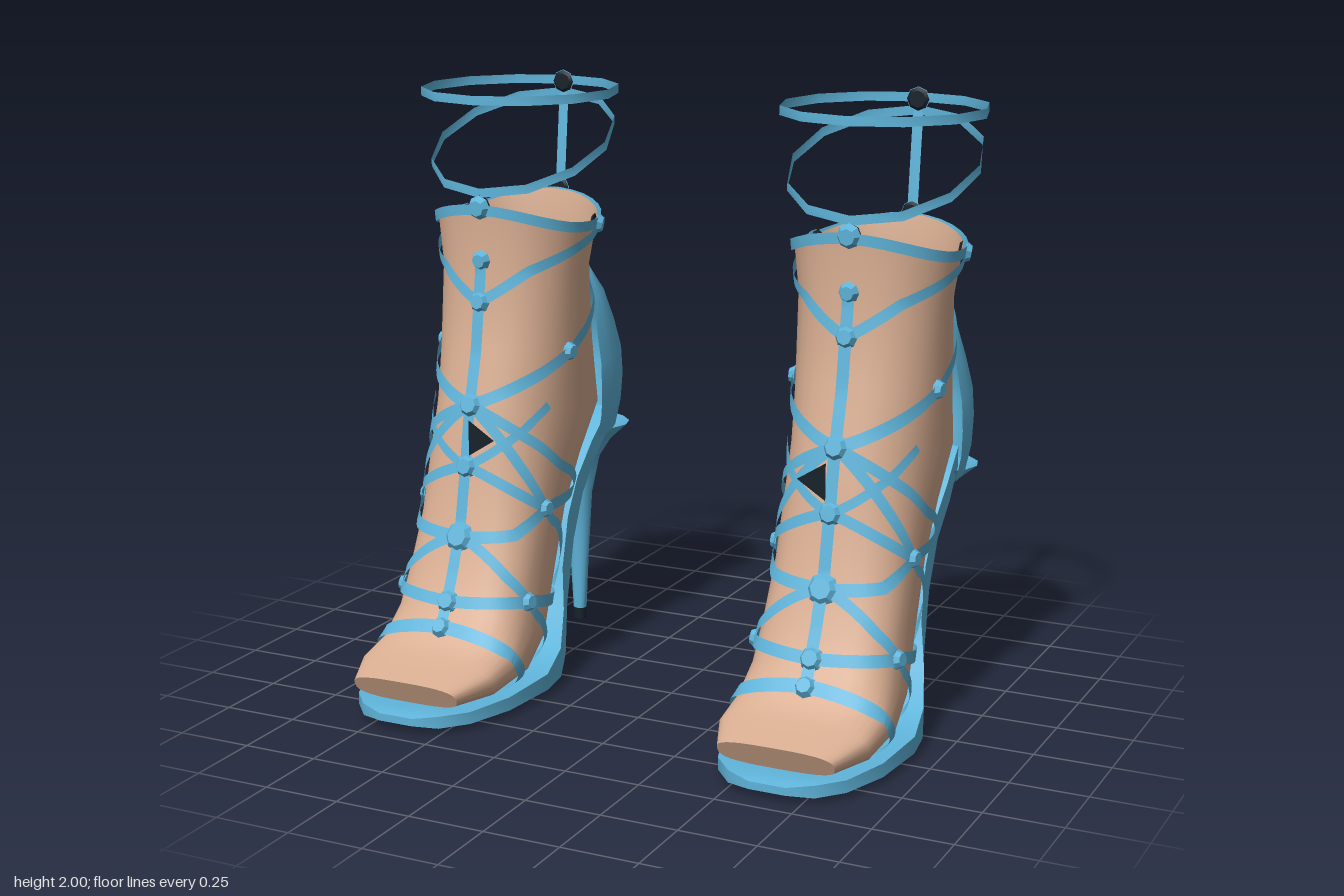
import * as THREE from 'three';
import { toCreasedNormals } from 'three/addons/utils/BufferGeometryUtils.js';

const V = (x, y, z) => new THREE.Vector3(x, y, z);
const sgnPow = (c, p) => Math.sign(c) * Math.pow(Math.abs(c), p);
const RAD = Math.PI / 180;

function material(name, color) {
  const m = new THREE.MeshStandardMaterial({ color, side: THREE.DoubleSide });
  m.name = name;
  return m;
}

// Joins rings of points into a skin; caps fill the first and last ring.
function loft(rings, { closed = true, capStart = false, capEnd = false, crease = 0.7 } = {}) {
  const n = rings[0].length, pos = [], idx = [];
  rings.forEach(r => r.forEach(p => pos.push(p.x, p.y, p.z)));
  const last = closed ? n : n - 1;
  for (let i = 0; i < rings.length - 1; i++)
    for (let j = 0; j < last; j++) {
      const a = i * n + j, b = i * n + (j + 1) % n, c = a + n, d = b + n;
      idx.push(a, c, b, b, c, d);
    }
  const e = (rings.length - 1) * n;
  for (let j = 1; j < n - 1; j++) {
    if (capStart) idx.push(0, j, j + 1);
    if (capEnd) idx.push(e, e + j + 1, e + j);
  }
  const g = new THREE.BufferGeometry();
  g.setAttribute('position', new THREE.Float32BufferAttribute(pos, 3));
  g.setIndex(idx);
  return toCreasedNormals(g, crease);
}

// Leg and foot sections: front z, y, back z, y, half width, roundness
const SECTIONS = [
  [0.10, 1.61, -0.41, 1.60, 0.26, 0.9],
  [0.09, 1.40, -0.37, 1.38, 0.24, 0.9],
  [0.13, 1.13, -0.40, 1.12, 0.235, 0.85],
  [0.18, 0.95, -0.46, 0.87, 0.23, 0.8],
  [0.21, 0.78, -0.30, 0.72, 0.225, 0.75],
  [0.25, 0.58, -0.17, 0.57, 0.222, 0.7],
  [0.31, 0.42, -0.06, 0.35, 0.228, 0.65],
  [0.36, 0.31, 0.04, 0.14, 0.238, 0.65],
  [0.42, 0.22, 0.20, 0.07, 0.25, 0.62],
  [0.52, 0.185, 0.45, 0.06, 0.245, 0.6],
  [0.65, 0.15, 0.61, 0.07, 0.19, 0.65],
];

// Point on the leg: v runs from the top section to the toes, a goes round from the front.
function legPoint(v, a) {
  v = Math.min(Math.max(v, 0), SECTIONS.length - 1);
  const i = Math.min(Math.floor(v), SECTIONS.length - 2), t = v - i;
  const [fz, fy, bz, by, w, p] = SECTIONS[i].map((s, k) => s + (SECTIONS[i + 1][k] - s) * t);
  const c = sgnPow(Math.cos(a), p), s = sgnPow(Math.sin(a), p);
  const dip = 0.07 * Math.max(0, 1 - v) * s * s;
  return V(w * s, (fy + by) / 2 + (fy - by) / 2 * c - dip, (fz + bz) / 2 + (fz - bz) / 2 * c);
}

function legNormal(v, a) {
  const h = 0.06;
  const dv = legPoint(v + h, a).sub(legPoint(v - h, a));
  const da = legPoint(v, a + h).sub(legPoint(v, a - h));
  return dv.cross(da).normalize();
}

// Flat band along points, lying across the given normals
function ribbon(points, normals, width) {
  const sides = points.map((p, i) => {
    const t = points[Math.min(i + 1, points.length - 1)].clone().sub(points[Math.max(i - 1, 0)]);
    return normals[i].clone().cross(t).normalize().multiplyScalar(width / 2);
  });
  return loft(points.map((p, i) => [p.clone().sub(sides[i]), p.clone().add(sides[i])]), { closed: false });
}

function strapOnLeg(way, width, mirror) {
  const pts = [], nor = [];
  for (let i = 0; i < way.length - 1; i++)
    for (let k = i ? 1 : 0; k <= 16; k++) {
      const t = k / 16;
      const v = way[i][0] + (way[i + 1][0] - way[i][0]) * t;
      const a = (way[i][1] + (way[i + 1][1] - way[i][1]) * t) * RAD * mirror;
      const n = legNormal(v, a);
      nor.push(n);
      pts.push(legPoint(v, a).addScaledVector(n, 0.012));
    }
  return ribbon(pts, nor, width);
}

function hoop(rx, rz, cz, yFront, yBack, width) {
  const pts = [], nor = [];
  for (let i = 0; i <= 12; i++) {
    const a = i / 12 * Math.PI * 2, c = Math.cos(a);
    pts.push(V(rx * Math.sin(a), (yFront + yBack) / 2 + (yFront - yBack) / 2 * c, cz + rz * c));
    nor.push(V(Math.sin(a), 0, c));
  }
  return ribbon(pts, nor, width);
}

function createShoe(side, mats) {
  const shoe = new THREE.Group();
  const add = (name, geo, mat) => {
    const m = new THREE.Mesh(geo, mat);
    m.name = name;
    shoe.add(m);
    return m;
  };

  // Leg and foot, open at the top
  const legRings = SECTIONS.map((s, v) =>
    Array.from({ length: 32 }, (_, j) => legPoint(v, j / 32 * Math.PI * 2)));
  add('foot', loft(legRings, { capEnd: true }), mats.skin);

  // Sole: top z, y, bottom z, y, half width
  const slab = rows => rows.map(([tz, ty, bz, by, w]) =>
    [V(w, by, bz), V(w, ty, tz), V(-w, ty, tz), V(-w, by, bz)]);
  add('sole', loft(slab([
    [0.69, 0.05, 0.69, 0.025, 0.06], [0.66, 0.06, 0.66, 0.02, 0.14],
    [0.58, 0.06, 0.58, 0.02, 0.21], [0.42, 0.065, 0.42, 0.02, 0.265],
    [0.20, 0.075, 0.20, 0.02, 0.285], [0.07, 0.12, 0.07, 0.02, 0.265],
    [-0.01, 0.23, -0.02, 0.07, 0.235], [-0.06, 0.36, -0.09, 0.22, 0.205],
    [-0.13, 0.52, -0.17, 0.43, 0.19], [-0.20, 0.64, -0.24, 0.58, 0.19],
    [-0.29, 0.75, -0.32, 0.69, 0.20], [-0.48, 0.83, -0.48, 0.76, 0.17],
  ]), { capStart: true, capEnd: true }), mats.blue);
  add('shank', loft(slab([
    [-0.12, 0.42, -0.15, 0.37, 0.13], [-0.20, 0.58, -0.25, 0.44, 0.13],
    [-0.30, 0.72, -0.34, 0.66, 0.12],
  ]), { capStart: true, capEnd: true }), mats.blue);

  // Heel cup: y, back z, front edge z, half width
  const cup = [
    [1.38, -0.48, -0.46, 0.04], [1.32, -0.53, -0.42, 0.12], [1.24, -0.60, -0.37, 0.175],
    [1.13, -0.66, -0.31, 0.215], [1.03, -0.69, -0.28, 0.245], [0.94, -0.69, -0.26, 0.257],
    [0.86, -0.67, -0.26, 0.255], [0.77, -0.645, -0.27, 0.235],
  ].map(([y, zb, zf, w]) => Array.from({ length: 17 }, (_, j) => {
    const a = (90 + j * 180 / 16) * RAD;
    return V(w * Math.sin(a), y, zf + (zf - zb) * Math.cos(a));
  }));
  add('heelCup', loft(cup, { closed: false, crease: 1 }), mats.blue);

  // Stiletto: y, back z, front z, half width
  const stem = [
    [0.77, -0.645, -0.32, 0.235], [0.70, -0.622, -0.43, 0.15], [0.62, -0.61, -0.49, 0.09],
    [0.48, -0.605, -0.525, 0.052], [0.25, -0.598, -0.54, 0.035], [0.04, -0.592, -0.548, 0.024],
    [0, -0.592, -0.548, 0.024],
  ].map(([y, zb, zf, w]) => Array.from({ length: 16 }, (_, j) => {
    const a = j / 16 * Math.PI * 2;
    return V(w * Math.sin(a), y, (zb + zf) / 2 + (zf - zb) / 2 * Math.cos(a));
  }));
  add('heelStem', loft(stem.slice(0, 6)), mats.blue);
  add('heelTip', loft(stem.slice(5), { capEnd: true }), mats.black);

  // Mirrored straps: [position down the leg, degrees from the front]
  const straps = [
    [[[1.4, 0], [0.75, 60], [0.15, 110], [0.05, 180]], 0.035],
    [[[2.95, 0], [2.05, 78], [1.15, 140], [0.98, 180]], 0.04],
    [[[2.95, 0], [3.7, 60], [4.9, 140]], 0.035],
    [[[2.95, 0], [4, 40], [4.8, 78], [6.2, 135]], 0.035],
    [[[4.1, 0], [3.4, 40], [2.9, 60]], 0.03],
    [[[4.1, 0], [4.8, 78]], 0.035],
    [[[5.3, 0], [5.2, 45], [4.8, 78], [4.6, 130]], 0.04],
    [[[5.3, 0], [6.5, 75], [7.7, 140]], 0.035],
    [[[6.8, 0], [6.5, 75], [6.3, 145]], 0.04],
    [[[7.6, 0], [8.1, 80], [8.7, 145]], 0.045],
  ];
  for (const m of [1, -1])
    for (const [way, width] of straps) add('sideStrap', strapOnLeg(way, width, m), mats.blue);
  add('rimStrap', strapOnLeg([[0.06, 0], [0.06, 180], [0.06, 360]], 0.035, 1), mats.blue);
  add('centreStrap', strapOnLeg([[0.86, 0], [2.95, 0], [4.1, 0], [5.3, 0], [7.6, 0]], 0.04, 1), mats.blue);

  // Loose ankle wraps and the upright band behind
  add('upperWrap', hoop(0.33, 0.32, -0.18, 1.955, 1.965, 0.03), mats.blue);
  add('lowerWrap', hoop(0.31, 0.295, -0.195, 1.65, 1.925, 0.03), mats.blue);
  const back = [V(0, 1.36, -0.445), V(0, 1.62, -0.455), V(0, 1.97, -0.492)];
  add('backStrap', ribbon(back, back.map(() => V(0, 0, -1)), 0.035), mats.blue);

  // Faceted studs with an optional dark inner face
  const stud = (p, n, r, backed) => {
    const q = new THREE.Quaternion().setFromUnitVectors(V(0, 1, 0), n);
    const b = add('stud', toCreasedNormals(new THREE.CylinderGeometry(r * 0.65, r, 0.022, 8), 0.4), mats.blue);
    b.position.copy(p);
    b.quaternion.copy(q);
    if (!backed) return;
    const d = add('studBack', new THREE.CylinderGeometry(r * 0.95, r * 0.7, 0.008, 8), mats.black);
    d.position.copy(p).addScaledVector(n, backed);
    d.quaternion.copy(q);
  };
  const legStud = (v, deg, r, backed) => {
    const n = legNormal(v, deg * RAD);
    stud(legPoint(v, deg * RAD).addScaledVector(n, 0.016), n, r, backed);
  };
  for (const [v, r] of [[0.86, 0.034], [1.4, 0.037], [2.95, 0.042], [4.1, 0.04], [5.3, 0.052], [6.8, 0.04], [7.6, 0.036]])
    legStud(v, 0, r);
  legStud(0.03, 0, 0.04, -0.026);
  for (const m of [1, -1]) {
    legStud(0.12, 108 * m, 0.036, -0.026);
    for (const [v, d] of [[2.05, 78], [4.8, 78], [6.5, 75]]) legStud(v, d * m, 0.033);
  }
  stud(V(0, 1.60, -0.46), V(0, 0, -1), 0.036, -0.016);
  stud(V(0, 1.37, -0.46), V(0, 0, -1), 0.034);
  stud(V(0, 1.96, -0.495), V(0, 0, -1), 0.04, -0.016);

  // Dark triangular tab beside the instep, on the inner side
  const tab = new THREE.Shape([[0.015, 0.92], [0.015, 0.80], [0.11, 0.86]]
    .map(([x, y]) => new THREE.Vector2(-side * x, y)));
  add('insteptTab'.replace('tT', 'T'), new THREE.ShapeGeometry(tab), mats.black).position.z = 0.225;
  return shoe;
}

export function createModel() {
  const mats = {
    blue: material('blue leather', 0x5fb4da),
    skin: material('skin', 0xd9ae92),
    black: material('black', 0x16202a),
  };
  const model = new THREE.Group();
  model.name = 'pairOfHeels';
  for (const side of [1, -1]) {
    const shoe = createShoe(side, mats);
    shoe.name = side > 0 ? 'leftShoe' : 'rightShoe';
    shoe.position.x = side * 0.645;
    model.add(shoe);
  }
  return model;
}
